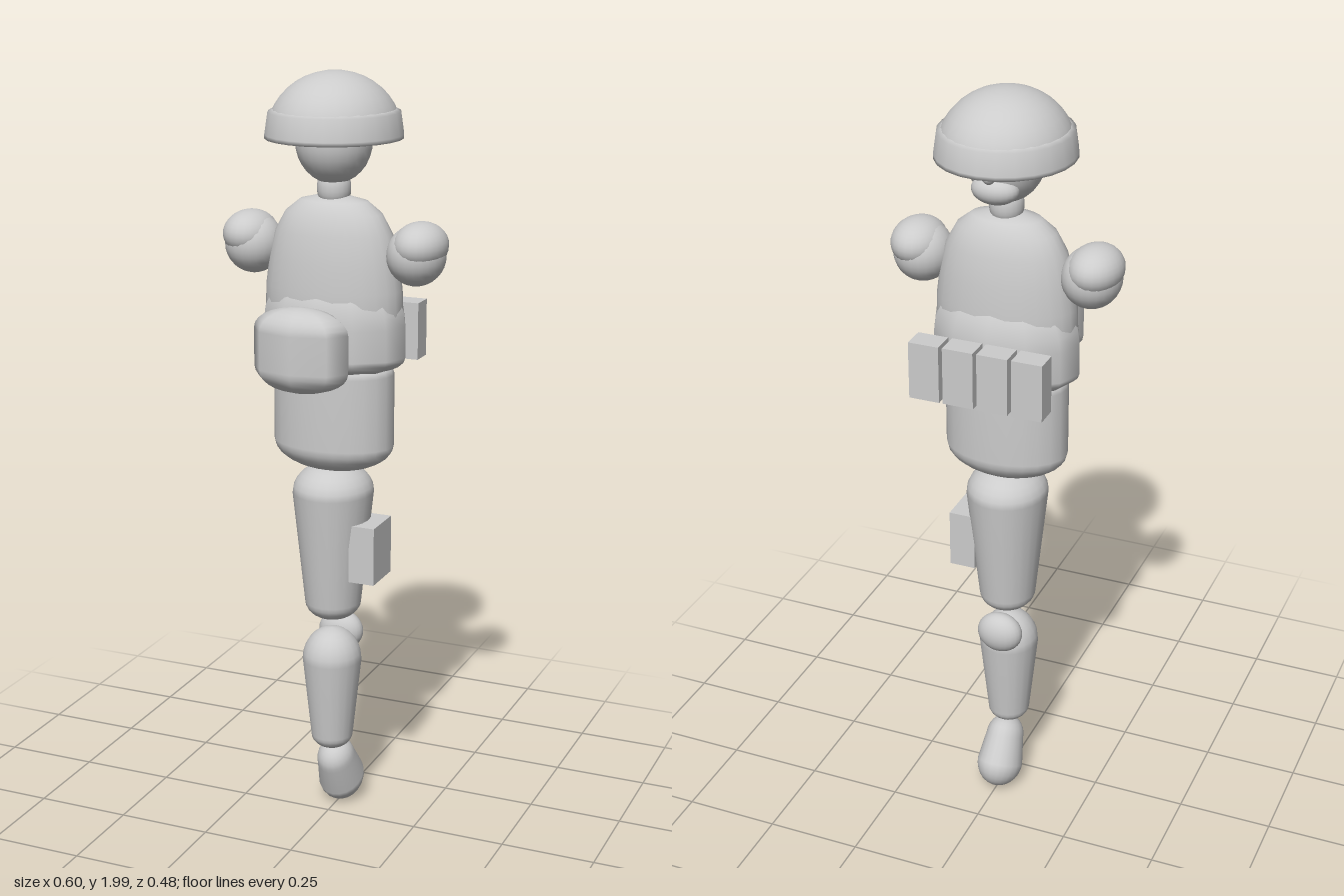
import * as THREE from 'three';

const Z = -0.037; // body axis
const material = new THREE.MeshStandardMaterial({ color: 0xcccccc });
const doubleMaterial = new THREE.MeshStandardMaterial({ color: 0xcccccc, side: THREE.DoubleSide });

export function createModel() {
  const group = new THREE.Group();

  const add = (name, geometry, x, y, z, mat = material) => {
    const mesh = new THREE.Mesh(geometry, mat);
    mesh.name = name;
    mesh.position.set(x, y, z);
    group.add(mesh);
    return mesh;
  };

  const ellipsoid = (name, x, y, z, rx, ry, rz) =>
    add(name, new THREE.SphereGeometry(1, 24, 16).scale(rx, ry, rz), x, y, z);

  const box = (name, x, y, z, w, h, d) => add(name, new THREE.BoxGeometry(w, h, d), x, y, z);

  // Tapered capsule profile with elliptical end caps
  const capsule = (y0, y1, r0, r1, cap0, cap1, segments, depth) => {
    const points = [];
    const n = 7;
    for (let i = 0; i <= n; i++) {
      const a = (i / n) * Math.PI / 2;
      points.push(new THREE.Vector2(r0 * Math.sin(a), y0 + cap0 * (1 - Math.cos(a))));
    }
    for (let i = 0; i <= n; i++) {
      const a = (i / n) * Math.PI / 2;
      points.push(new THREE.Vector2(r1 * Math.cos(a), y1 - cap1 * (1 - Math.sin(a))));
    }
    points[0].x = points[2 * n + 1].x = 0;
    return new THREE.LatheGeometry(points, segments).scale(1, 1, depth);
  };

  const lathe = (list, segments) =>
    new THREE.LatheGeometry(list.map(([r, y]) => new THREE.Vector2(r, y)), segments);

  // Helmet: shallow dome over an open flared brim
  const dome = new THREE.SphereGeometry(1, 28, 10, 0, Math.PI * 2, 0, Math.PI / 2);
  add('helmetDome', dome.scale(0.165, 0.15, 0.177), 0, 1.85, Z - 0.002, doubleMaterial);
  const brim = lathe([[0.152, 1.9], [0.145, 1.835], [0.173, 1.835], [0.173, 1.845],
    [0.165, 1.9], [0.152, 1.907]], 24).scale(1, 1, 1.055);
  add('helmetBrim', brim, 0, 0, Z - 0.002, doubleMaterial);

  // Head, facing away from the pack
  ellipsoid('head', 0, 1.83, Z, 0.097, 0.11, 0.102);
  ellipsoid('jaw', 0, 1.772, -0.108, 0.06, 0.037, 0.042);
  ellipsoid('nose', 0, 1.822, -0.145, 0.018, 0.025, 0.022);
  add('neck', capsule(1.66, 1.76, 0.043, 0.043, 0.045, 0.045, 20, 1), 0, 0, Z);

  // Torso
  const chest = lathe([[0, 1.23], [0.13, 1.24], [0.17, 1.3], [0.184, 1.4], [0.182, 1.46],
    [0.173, 1.53], [0.156, 1.6], [0.128, 1.65], [0.09, 1.68], [0.04, 1.692], [0, 1.694]], 28);
  add('chest', chest.scale(1, 1, 0.61), 0, 0, Z);
  add('vest', capsule(1.23, 1.53, 0.195, 0.194, 0.06, 0.16, 12, 0.68), 0, 0, -0.04);
  add('hips', capsule(0.975, 1.3, 0.162, 0.162, 0.075, 0.06, 24, 0.67), 0, 0, Z);

  // Shoulders with an overlapping pad
  for (const side of [1, -1]) {
    ellipsoid('shoulder', side * 0.222, 1.555, -0.038, 0.075, 0.077, 0.08);
    ellipsoid('shoulderPad', side * 0.233, 1.58, -0.039, 0.068, 0.06, 0.086);
  }

  // Pack on one side, a row of pouches on the other
  add('pack', capsule(1.23, 1.446, 0.127, 0.127, 0.06, 0.06, 8, 0.55), 0, 0, 0.171);
  for (let i = 0; i < 4; i++) {
    box('beltPouch', (i - 1.5) * 0.09, 1.325, -0.212, 0.08, 0.15, 0.062);
  }

  // Leg
  add('thigh', capsule(0.56, 0.995, 0.074, 0.106, 0.05, 0.08, 24, 1.06), 0, 0, -0.034);
  box('thighPouch', 0.105, 0.768, -0.032, 0.07, 0.155, 0.121);
  ellipsoid('knee', 0, 0.505, -0.089, 0.062, 0.056, 0.041);
  add('shin', capsule(0.188, 0.535, 0.056, 0.079, 0.04, 0.09, 20, 1.03), 0, 0, -0.026);

  // Foot: short capsule pitched towards the toes
  const foot = add('foot', capsule(-0.107, 0.094, 0.068, 0.056, 0.068, 0.056, 20, 1.05), 0, 0.109, -0.073);
  foot.rotation.x = 0.5;
  foot.scale.set(0.9, 1, 1);

  return group;
}
